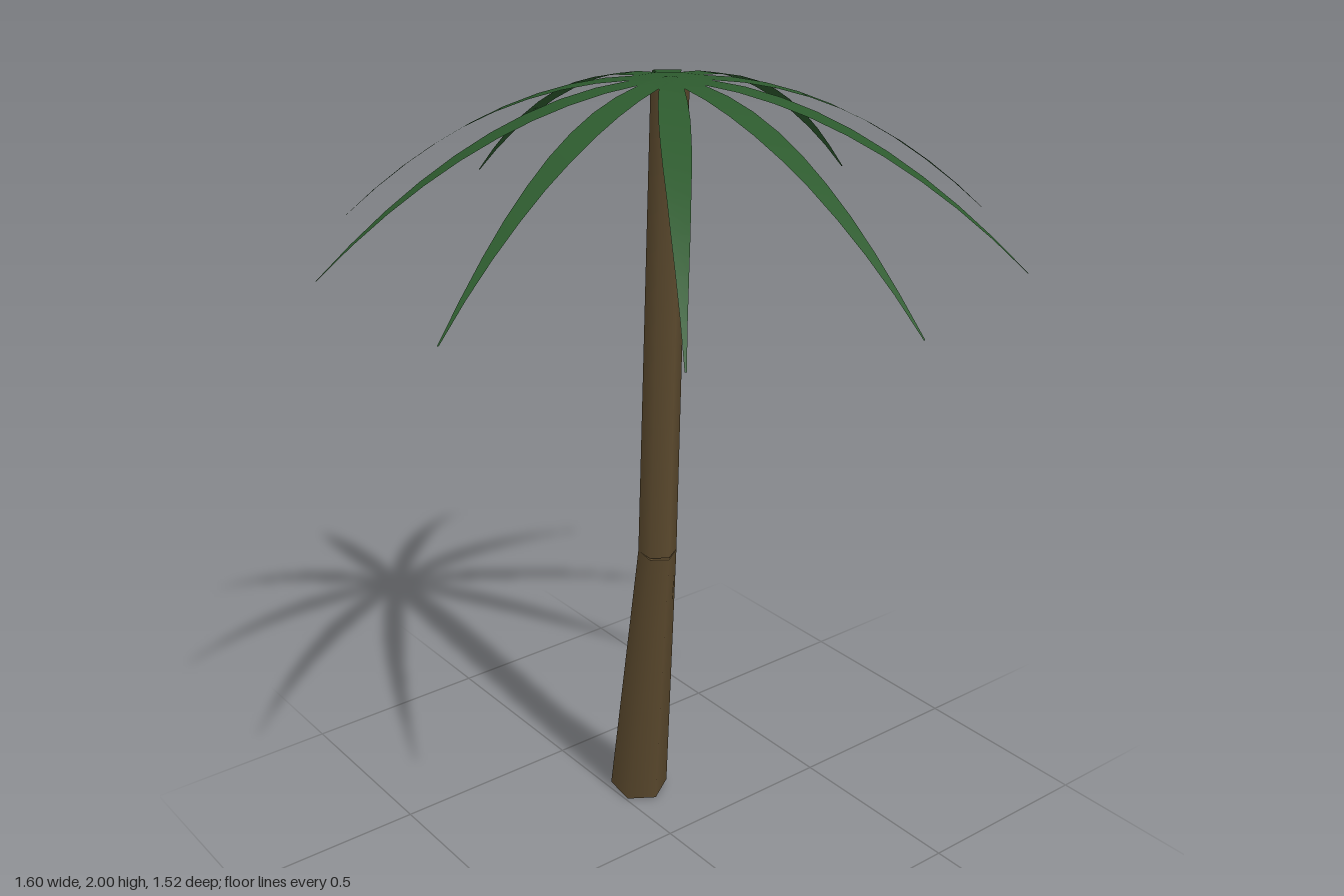
import * as THREE from 'three';

const bark = new THREE.MeshStandardMaterial({ color: 0x5c4a2e });
bark.name = 'bark brown';
const leaf = new THREE.MeshStandardMaterial({ color: 0x2d5a2e, side: THREE.DoubleSide });
leaf.name = 'leaf green';

// Six-sided tapered trunk section running between two points
function trunkSection(name, from, to, rBottom, rTop) {
  const axis = to.clone().sub(from);
  const geo = new THREE.CylinderGeometry(rTop, rBottom, axis.length(), 6, 1, false, Math.PI / 2);
  const mesh = new THREE.Mesh(geo, bark);
  mesh.name = name;
  mesh.position.copy(from).add(to).multiplyScalar(0.5);
  mesh.quaternion.setFromUnitVectors(new THREE.Vector3(0, 1, 0), axis.normalize());
  return mesh;
}

// Drooping pointed blade along +x, one sheet thick
function frondGeometry() {
  const length = 0.8, droop = 0.37, top = 2, segments = 10;
  const halfWidths = [0.02, 0.027, 0.031, 0.033, 0.032, 0.029, 0.024, 0.019, 0.013, 0.007, 0.002];
  const geo = new THREE.PlaneGeometry(1, 1, segments, 1);
  const pos = geo.attributes.position;
  for (let i = 0; i < pos.count; i++) {
    const t = pos.getX(i) + 0.5;
    const side = pos.getY(i) > 0 ? -1 : 1;
    const w = halfWidths[Math.round(t * segments)];
    pos.setXYZ(i, t * length, top - droop * t * t, side * w);
  }
  geo.computeVertexNormals();
  return geo;
}

export function createModel() {
  const palm = new THREE.Group();
  palm.name = 'palmTree';

  // Bent trunk in two sections
  const base = new THREE.Vector3(-0.23, 0.016, -0.07);
  const bend = new THREE.Vector3(-0.08, 0.81, -0.022);
  const crown = new THREE.Vector3(0, 1.994, 0);
  palm.add(trunkSection('lowerTrunk', base, bend, 0.077, 0.048));
  palm.add(trunkSection('upperTrunk', bend, crown, 0.048, 0.043));

  // Ten fronds fanned around the crown
  const fronds = new THREE.Group();
  fronds.name = 'fronds';
  const geo = frondGeometry();
  for (let i = 0; i < 10; i++) {
    const frond = new THREE.Mesh(geo, leaf);
    frond.name = 'frond' + (i + 1);
    frond.rotation.y = (i / 10) * Math.PI * 2;
    fronds.add(frond);
  }
  palm.add(fronds);
  return palm;
}
